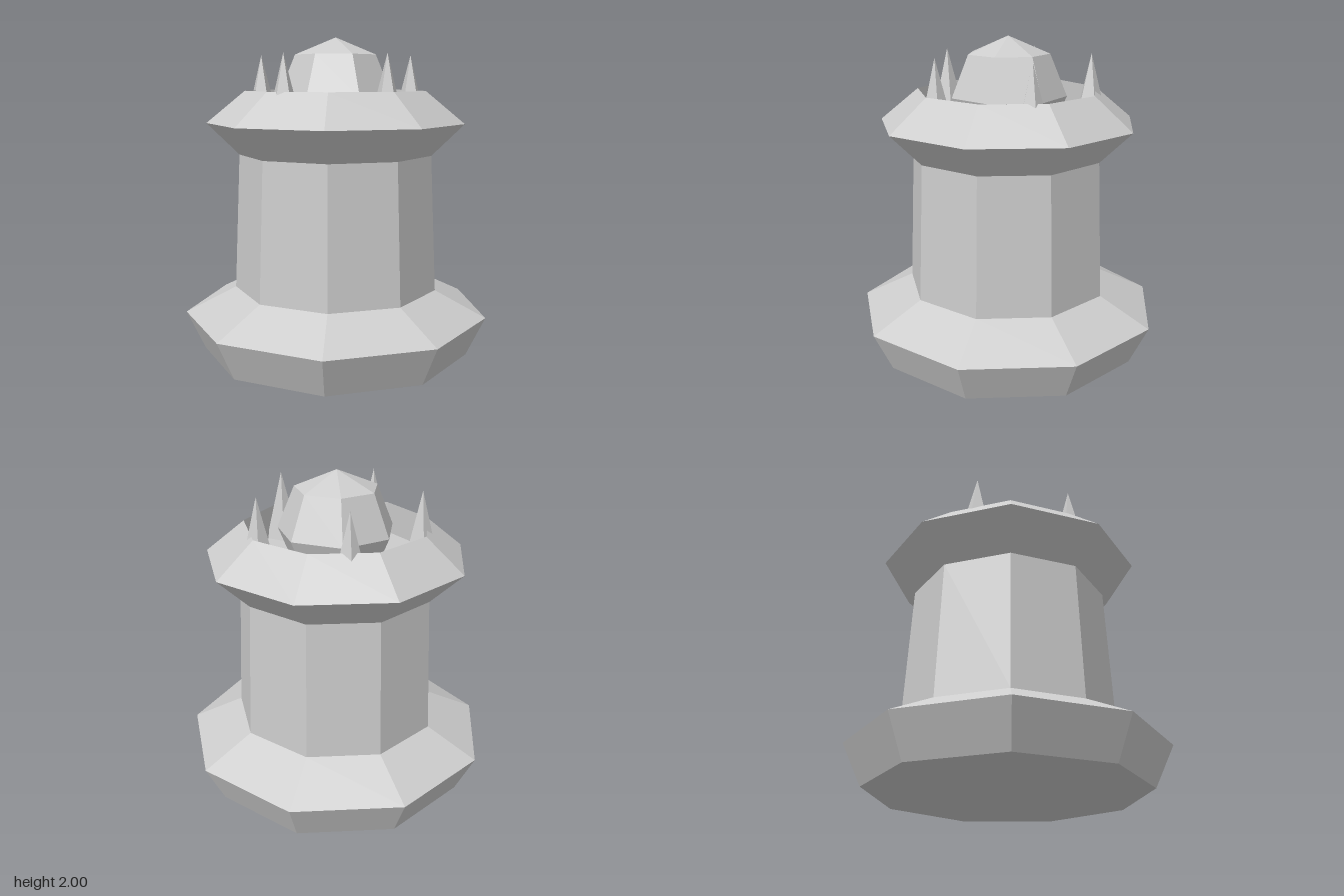
import * as THREE from 'three';

const AXIS_X = -0.03; // axis of the nine-sided tower

export function createModel() {
  const group = new THREE.Group();
  const stone = new THREE.MeshStandardMaterial({ color: 0xcccccc });
  stone.name = 'stone grey';

  // Adds a faceted mesh on the tower axis
  const add = (name, geometry, x = 0, y = 0, z = 0) => {
    const faceted = geometry.toNonIndexed();
    faceted.computeVertexNormals();
    const mesh = new THREE.Mesh(faceted, stone);
    mesh.name = name;
    mesh.position.set(AXIS_X + x, y, z);
    group.add(mesh);
  };

  // Nine-sided ring from a [radius, height] profile, one corner towards +x
  const ring = (name, profile) => add(name, new THREE.LatheGeometry(
    profile.map(([r, y]) => new THREE.Vector2(r, y)), 9, Math.PI / 2));

  ring('base', [[0, 0], [0.856, 0], [0.974, 0.25], [0.652, 0.41]]);
  ring('column', [[0.652, 0.41], [0.613, 1.27]]);
  // Flared crown with a sunken floor
  ring('crown', [[0.613, 1.27], [0.815, 1.47], [0.572, 1.67]]);
  ring('sunkenTop', [[0.572, 1.67], [0.572, 1.47], [0, 1.47]]);

  // Seven-sided ball resting in the crown
  add('dome', new THREE.SphereGeometry(0.365, 7, 4).rotateY(-Math.PI / 2), 0, 1.635, 0);

  // Five spikes standing inside the rim
  const floor = 1.47, tip = 1.895;
  for (let i = 0; i < 5; i++) {
    const a = (i / 5) * Math.PI * 2;
    add('spike' + (i + 1),
      new THREE.ConeGeometry(0.11, tip - floor, 5, 1, false, Math.PI / 2),
      0.51 * Math.cos(a), (floor + tip) / 2, 0.51 * Math.sin(a));
  }
  return group;
}
